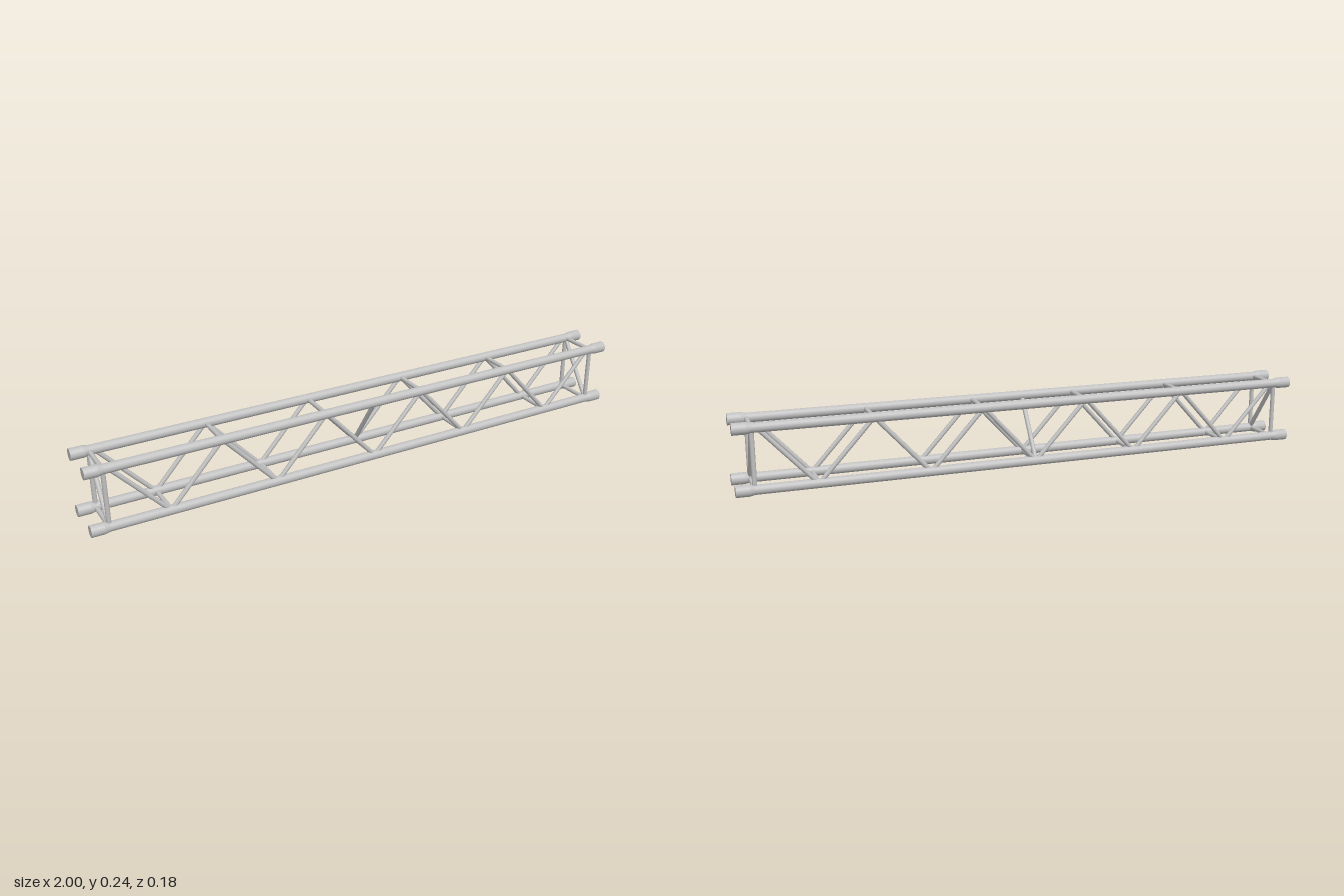
import * as THREE from 'three';

const LOW = 0.02, HIGH = 0.22, SIDE = 0.07; // chord centre lines
const END = 0.94, STEP = 0.185;             // end frame and node spacing
const BRACE = 0.0077;

export function createModel() {
  const model = new THREE.Group();
  model.name = 'truss';
  const metal = new THREE.MeshStandardMaterial({ color: 0xc0c0c0 });
  metal.name = 'aluminium';

  // Round bar between two points
  function bar(name, a, b, radius = BRACE, sides = 16) {
    const from = new THREE.Vector3(...a), to = new THREE.Vector3(...b);
    const dir = to.clone().sub(from);
    const mesh = new THREE.Mesh(new THREE.CylinderGeometry(radius, radius, dir.length(), sides), metal);
    mesh.name = name;
    mesh.position.copy(from).add(to).multiplyScalar(0.5);
    mesh.quaternion.setFromUnitVectors(new THREE.Vector3(0, 1, 0), dir.normalize());
    model.add(mesh);
  }

  // End coupler: wide sleeve with a short taper onto the chord
  const sleeve = new THREE.LatheGeometry([
    [0.016, 0.94], [0.0195, 0.957], [0.0195, 0.957], [0.0195, 1], [0.0195, 1], [0, 1],
  ].map(([r, h]) => new THREE.Vector2(r, h)), 28);

  for (const z of [-SIDE, SIDE]) {
    // Main chords and their couplers
    for (const y of [LOW, HIGH]) {
      bar('chord', [-0.99, y, z], [0.99, y, z], 0.016, 28);
      for (const s of [-1, 1]) {
        const cap = new THREE.Mesh(sleeve, metal);
        cap.name = 'endCoupler';
        cap.rotation.z = -s * Math.PI / 2;
        cap.position.set(0, y, z);
        model.add(cap);
      }
    }
    // Upright posts of the end frames
    for (const x of [-END, END]) bar('endPost', [x, LOW, z], [x, HIGH, z]);

    // Zigzag side braces, feet slightly apart at each node
    for (let i = -5; i < 5; i++) {
      const y = (k) => (k % 2 ? HIGH - 0.01 : LOW + 0.01);
      bar('sideBrace', [i * STEP + 0.01, y(i), z], [(i + 1) * STEP - 0.01, y(i + 1), z]);
    }
  }

  // Cross bars alternating between top and bottom nodes
  for (let i = -4; i <= 4; i++) {
    const y = i % 2 ? HIGH : LOW;
    bar('crossBar', [i * STEP, y, -SIDE], [i * STEP, y, SIDE]);
  }

  // End frames: top and bottom bars with a diagonal
  for (const x of [-END, END]) {
    for (const y of [LOW, HIGH]) bar('endCrossBar', [x, y, -SIDE], [x, y, SIDE]);
    bar('endDiagonal', [x, LOW, SIDE], [x, HIGH, -SIDE]);
  }

  // Middle diagonal leans the other way
  bar('middleDiagonal', [0, HIGH, SIDE], [0, LOW, -SIDE]);

  return model;
}
